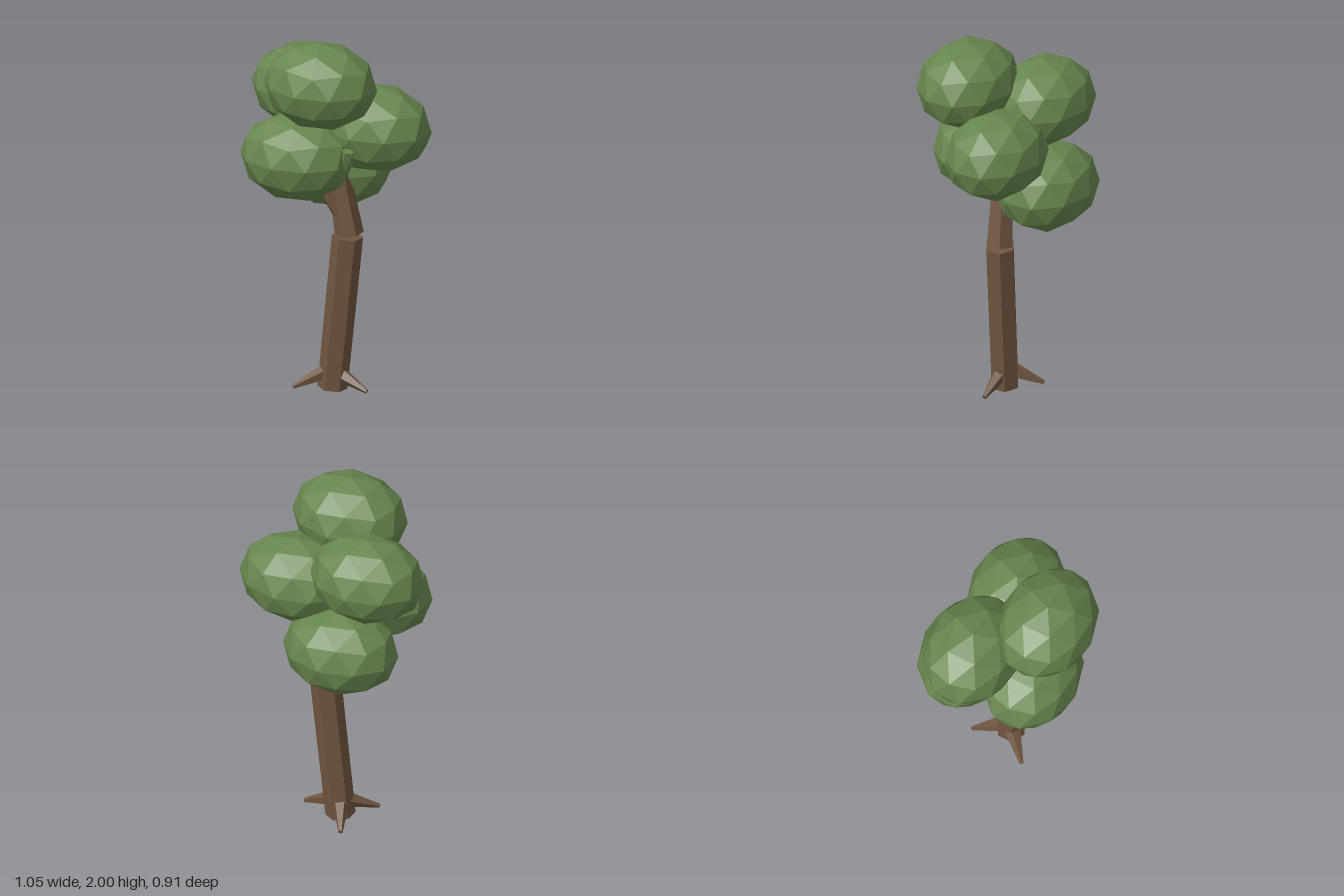
import * as THREE from 'three';

export function createModel() {
  const tree = new THREE.Group();
  tree.name = 'tree';
  const bark = new THREE.MeshStandardMaterial({ color: 0x70553f, flatShading: true });
  bark.name = 'bark brown';
  const leaf = new THREE.MeshStandardMaterial({ color: 0x67864e, flatShading: true });
  leaf.name = 'leaf green';

  // Tapered prism running from point a to point b
  function limb(name, a, b, rA, rB, sides, material) {
    const start = new THREE.Vector3(...a);
    const dir = new THREE.Vector3(...b).sub(start);
    const length = dir.length();
    const geo = new THREE.CylinderGeometry(rB, rA, length, sides);
    geo.translate(0, length / 2, 0);
    const mesh = new THREE.Mesh(geo, material);
    mesh.name = name;
    mesh.position.copy(start);
    mesh.quaternion.setFromUnitVectors(new THREE.Vector3(0, 1, 0), dir.normalize());
    tree.add(mesh);
  }

  // Two leaning trunk sections
  limb('lowerTrunk', [0, 0.012, 0], [0.083, 0.866, -0.018], 0.08, 0.083, 6, bark);
  limb('upperTrunk', [0.092, 0.878, -0.022], [0.02, 1.32, 0], 0.077, 0.055, 6, bark);

  // Short side branch reaching into the leaves
  limb('sideBranch', [0.05, 0.98, 0], [-0.08, 1.22, 0.08], 0.035, 0.025, 5, bark);

  // Roots spreading around the base
  const roots = [
    [0.215, 0.0],
    [-0.155, 0.145],
    [-0.1, -0.18],
  ];
  for (const [x, z] of roots) {
    const k = 0.035 / Math.hypot(x, z);
    limb('root', [x * k, 0.1, z * k], [x, 0.026, z], 0.045, 0.012, 5, bark);
  }

  // Leaf clumps: flattened icospheres with a pole pointing up
  const clump = new THREE.IcosahedronGeometry(1, 1);
  clump.rotateX(-Math.atan2((1 + Math.sqrt(5)) / 2, 1));
  clump.rotateY(Math.PI / 2);
  clump.scale(0.32, 0.236, 0.257);
  clump.computeVertexNormals();
  const centres = [
    [0.05, 1.764, 0.195],
    [-0.222, 1.625, -0.11],
    [0.218, 1.482, -0.078],
    [-0.105, 1.335, 0.185],
    [-0.11, 1.192, -0.197],
  ];
  for (const c of centres) {
    const mesh = new THREE.Mesh(clump, leaf);
    mesh.name = 'leafClump';
    mesh.position.set(...c);
    tree.add(mesh);
  }

  // Small sprigs peeking out between the clumps
  limb('sprig', [0.19, 1.32, 0.18], [0.215, 1.42, 0.18], 0.02, 0.035, 5, leaf);
  limb('sprig', [-0.03, 1.3, -0.14], [-0.04, 1.44, -0.165], 0.035, 0.008, 5, leaf);

  return tree;
}
